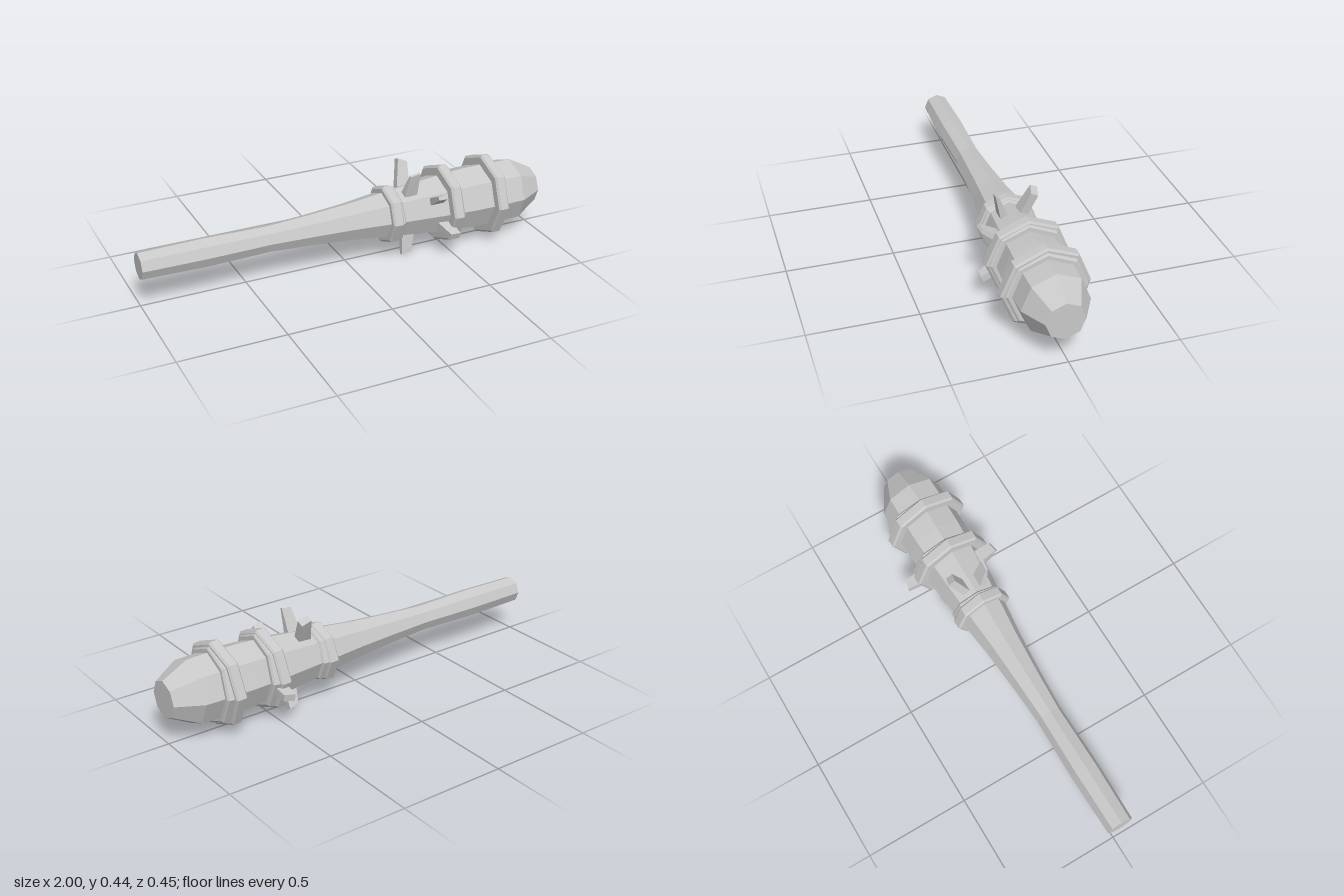
import * as THREE from 'three';

const AXIS_Y = 0.216, AXIS_Z = 0.017, SIDES = 8;

export function createModel() {
  const group = new THREE.Group();
  const grey = new THREE.MeshStandardMaterial({ color: 0xc8c8c8 });
  grey.name = 'stone grey';

  // Flat-shaded octagonal solid along +x from [x, radius] pairs
  function turned(profile) {
    const geo = new THREE.LatheGeometry(profile.map(([x, r]) => new THREE.Vector2(r, x)), SIDES);
    geo.rotateZ(-Math.PI / 2);
    const flat = geo.toNonIndexed();
    flat.computeVertexNormals();
    return flat;
  }

  function add(name, geo, parent = group) {
    const mesh = new THREE.Mesh(geo, grey);
    mesh.name = name;
    parent.add(mesh);
    return mesh;
  }

  // Handle flaring into the head, closed at both ends
  const club = add('clubBody', turned([
    [-1, 0], [-1, 0.064], [-0.7, 0.069], [-0.4, 0.063], [-0.2, 0.075], [0, 0.091],
    [0.2, 0.115], [0.5, 0.147], [0.62, 0.155], [0.75, 0.157], [0.88, 0.153], [1, 0.088], [1, 0],
  ]));
  club.position.set(0, AXIS_Y, AXIS_Z);

  // Bands: each is a broad hoop and a slimmer one, leaning opposite ways
  function hoop(name, x, width, inner, outer, tiltZ, tiltY, parent) {
    const h = width / 2, bevel = width * 0.15;
    const mesh = add(name, turned([
      [-h, inner], [-h, outer - 0.01], [-h + bevel, outer], [h - bevel, outer],
      [h, outer - 0.01], [h, inner], [-h, inner],
    ]), parent);
    mesh.position.set(x, AXIS_Y, AXIS_Z);
    mesh.rotation.set(0, tiltY, tiltZ);
  }
  const bands = [
    ['innerBand', 0.217, 0.098, 0.142, 0.133],
    ['middleBand', 0.51, 0.125, 0.193, 0.178],
    ['outerBand', 0.745, 0.135, 0.203, 0.183],
  ];
  for (const [name, x, inner, broad, slim] of bands) {
    const band = new THREE.Group();
    band.name = name;
    group.add(band);
    hoop('broadHoop', x - 0.01, 0.055, inner, broad, -0.03, 0.03, band);
    hoop('slimHoop', x + 0.014, 0.05, inner, slim, 0.04, -0.03, band);
  }

  // Blunt shards, wide along the club: base point, tip point, tip thickness
  const shards = [
    [[0.308, 0.32, -0.02], [0.33, 0.433, -0.073], 0.036],
    [[0.305, 0.32, 0.065], [0.315, 0.43, 0.099], 0.012],
    [[0.42, 0.28, 0.11], [0.41, 0.336, 0.2], 0.018],
    [[0.45, 0.17, 0.11], [0.475, 0.131, 0.217], 0.032],
    [[0.31, 0.12, 0.04], [0.293, 0.012, 0.063], 0.02],
    [[0.4, 0.12, -0.03], [0.405, 0.03, -0.076], 0.028],
    [[0.505, 0.185, -0.09], [0.512, 0.167, -0.215], 0.034],
  ];
  shards.forEach(([base, tip, thickness], i) => {
    const a = new THREE.Vector3(...base), b = new THREE.Vector3(...tip);
    const geo = new THREE.BoxGeometry(0.066, a.distanceTo(b), 0.038).toNonIndexed();
    // Narrow and slant the outer end so it looks chipped
    const slant = i % 2 ? 0.3 : -0.3;
    const pos = geo.attributes.position;
    for (let k = 0; k < pos.count; k++) {
      if (pos.getY(k) < 0) continue;
      const x = pos.getX(k) * 0.72;
      pos.setXYZ(k, x, pos.getY(k) + x * slant, pos.getZ(k) * thickness / 0.038);
    }
    geo.computeVertexNormals();
    const shard = add('shard', geo);
    shard.position.copy(a).lerp(b, 0.5);
    // Keep the wide side along the club while pointing outward
    const out = b.sub(a).normalize();
    const side = new THREE.Vector3(1, 0, 0).cross(out).normalize();
    const along = out.clone().cross(side);
    shard.quaternion.setFromRotationMatrix(new THREE.Matrix4().makeBasis(along, out, side));
  });

  return group;
}
